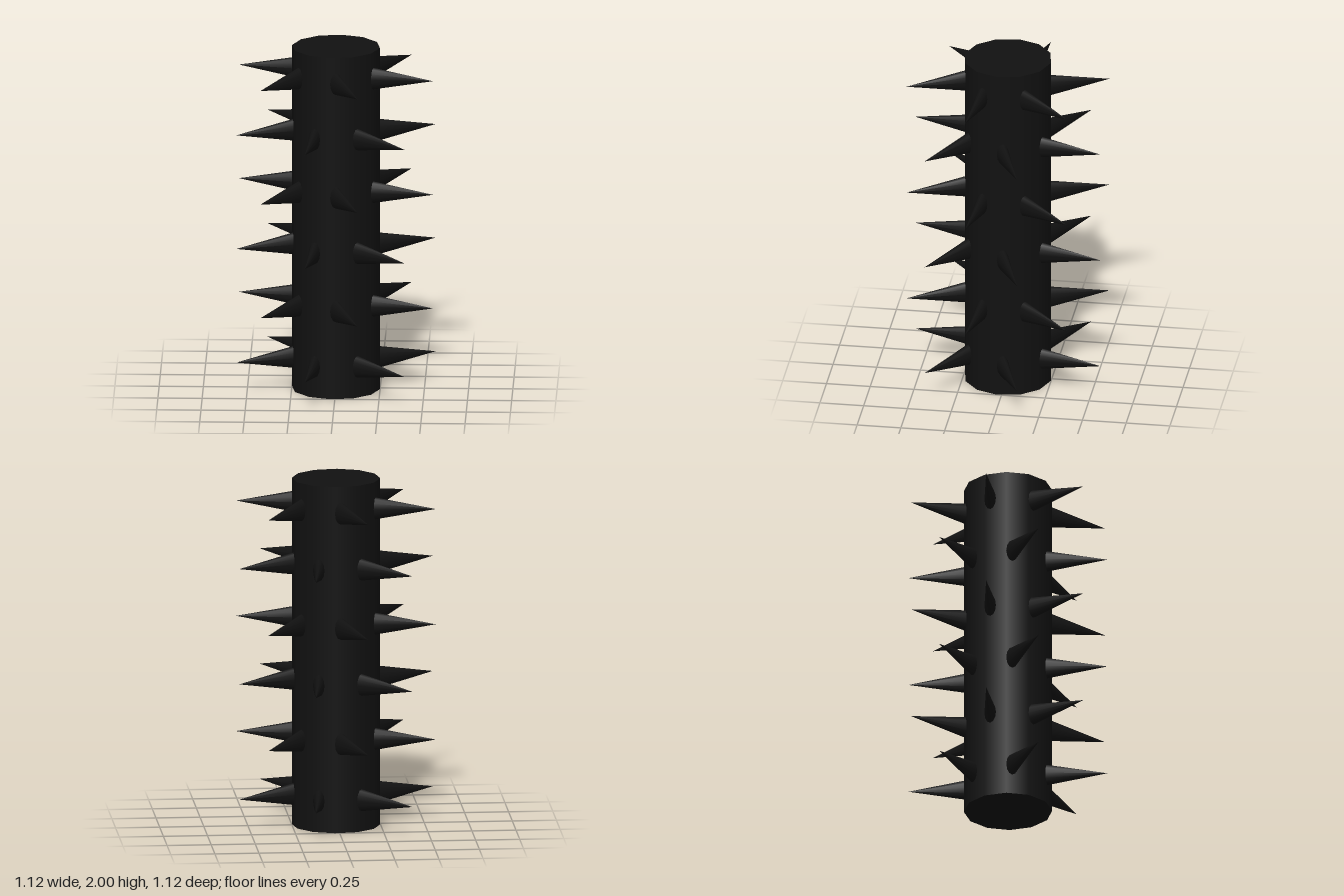
import * as THREE from 'three';

const LEVELS = 6, PER_LEVEL = 6;
const black = new THREE.MeshStandardMaterial({ color: 0x111111 });

// Flattened cone: taller than wide, pointing along +x, base at the origin
function makeSpikeGeometry(length, halfHeight, halfWidth) {
  const geo = new THREE.ConeGeometry(1, length, 12, 1);
  geo.translate(0, length / 2, 0);
  geo.rotateZ(-Math.PI / 2);
  geo.scale(1, halfHeight, halfWidth);
  return geo;
}

export function createModel() {
  const model = new THREE.Group();
  model.name = 'spikedPillar';

  // Twelve-sided pillar
  const pillar = new THREE.Mesh(new THREE.CylinderGeometry(0.25, 0.25, 2, 12), black);
  pillar.name = 'pillar';
  pillar.position.y = 1;
  pillar.rotation.y = THREE.MathUtils.degToRad(-6);
  model.add(pillar);

  // Rings of swept spikes, every other ring turned by half a step
  const baseX = 0.225, tipX = 0.56, tipZ = -0.136;
  const spikeGeo = makeSpikeGeometry(Math.hypot(tipX - baseX, tipZ), 0.067, 0.035);
  const sweep = Math.atan2(-tipZ, tipX - baseX);
  for (let level = 0; level < LEVELS; level++) {
    const ring = new THREE.Group();
    ring.name = 'spikeRing' + (level + 1);
    ring.position.y = 0.18 + level * 0.333;
    for (let i = 0; i < PER_LEVEL; i++) {
      const arm = new THREE.Group();
      arm.rotation.y = ((i + (level % 2) / 2) / PER_LEVEL) * Math.PI * 2;
      const spike = new THREE.Mesh(spikeGeo, black);
      spike.name = 'spike';
      spike.position.x = baseX;
      spike.rotation.y = sweep;
      arm.add(spike);
      ring.add(arm);
    }
    model.add(ring);
  }
  return model;
}
